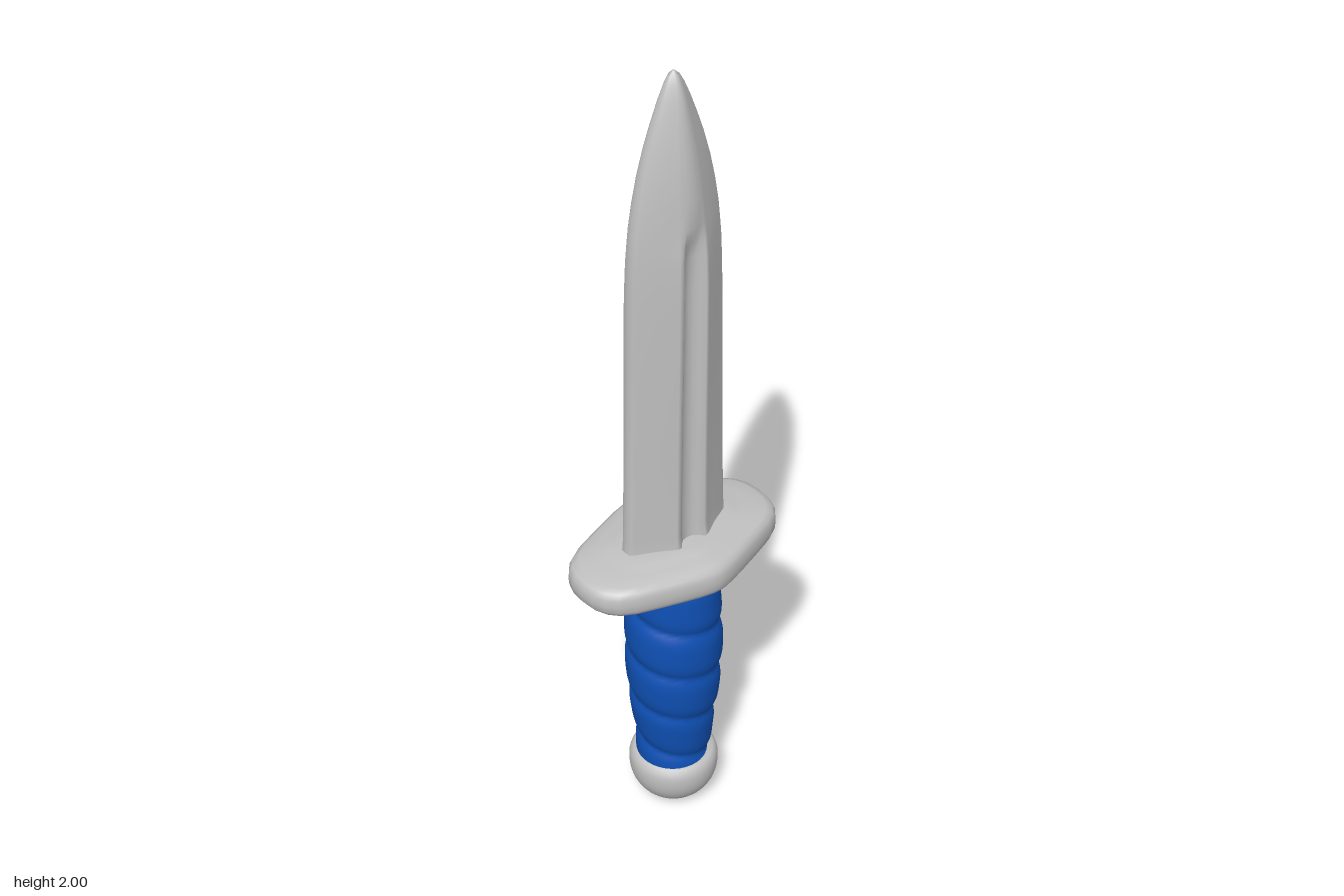
import * as THREE from 'three';

const steel = new THREE.MeshStandardMaterial({ color: 0xc0c0c0 });
steel.name = 'steel grey';
const wrap = new THREE.MeshStandardMaterial({ color: 0x0f50b4 });
wrap.name = 'grip blue';

// Skin a stack of closed rings (bottom to top) and close both ends.
function loft(rings) {
  const n = rings[0].length, pos = [], index = [];
  rings.forEach(r => r.forEach(p => pos.push(...p)));
  for (let i = 0; i < rings.length - 1; i++) {
    for (let j = 0; j < n; j++) {
      const a = i * n + j, b = i * n + (j + 1) % n;
      index.push(a, a + n, b, b, a + n, b + n);
    }
  }
  const last = (rings.length - 1) * n, lo = rings.length * n, hi = lo + 1;
  pos.push(0, rings[0][0][1], 0, 0, rings[rings.length - 1][0][1], 0);
  for (let j = 0; j < n; j++) {
    const k = (j + 1) % n;
    index.push(lo, j, k, hi, last + k, last + j);
  }
  const g = new THREE.BufferGeometry();
  g.setAttribute('position', new THREE.Float32BufferAttribute(pos, 3));
  g.setIndex(index);
  g.computeVertexNormals();
  return g;
}

// Mirror a quarter outline, running from the x axis to the z axis, into a full loop.
function mirrorQuarter(q) {
  const half = [...q, ...q.slice(0, -1).reverse().map(([x, z]) => [-x, z])];
  return [...half, ...half.slice(1, -1).reverse().map(([x, z]) => [x, -z])];
}

function part(name, geometry, material) {
  const m = new THREE.Mesh(geometry, material);
  m.name = name;
  return m;
}

// Blade: bevelled section with a shallow central groove that fades out below the point.
function bladeGeometry() {
  // y, half width, half thickness, groove strength
  const stations = [
    [0.78, 0.145, 0.075, 1], [0.82, 0.142, 0.071, 1], [0.86, 0.139, 0.067, 1],
    [1.1, 0.134, 0.068, 1], [1.35, 0.129, 0.071, 1], [1.5, 0.126, 0.072, 1],
    [1.58, 0.122, 0.071, 0.9], [1.62, 0.118, 0.07, 0.55], [1.66, 0.114, 0.068, 0],
    [1.72, 0.104, 0.064, 0], [1.78, 0.091, 0.058, 0], [1.84, 0.074, 0.05, 0],
    [1.89, 0.057, 0.041, 0], [1.94, 0.038, 0.031, 0], [1.97, 0.025, 0.022, 0],
    [1.99, 0.014, 0.013, 0], [2.0, 0.003, 0.003, 0],
  ];
  return loft(stations.map(([y, w, t, g]) => mirrorQuarter([
    [1, 0], [0.985, 0.2], [0.93, 0.31], [0.62, 0.61], [0.32, 0.88 + 0.09 * g],
    [0.25, 0.92 + 0.08 * g], [0.17, 0.96 - 0.13 * g], [0.1, 0.985 - 0.28 * g], [0, 1 - 0.32 * g],
  ]).map(([x, z]) => [x * w, y, z * t])));
}

// Guard: pointed oval plate with rounded rims, thicker in the middle.
function guardGeometry() {
  const outline = mirrorQuarter([
    [0.27, 0], [0.267, 0.035], [0.255, 0.065], [0.235, 0.088], [0.2, 0.108],
    [0.15, 0.126], [0.1, 0.143], [0.05, 0.159], [0.02, 0.166], [0, 0.168],
  ]);
  // y, outline scale
  const layers = [
    [0.716, 0.3], [0.719, 0.45], [0.726, 0.72], [0.733, 0.88], [0.741, 0.96], [0.753, 0.993],
    [0.77, 1], [0.788, 0.995], [0.802, 0.965], [0.81, 0.9], [0.815, 0.75], [0.82, 0.6], [0.826, 0.5],
  ];
  return loft(layers.map(([y, s]) => outline.map(([x, z]) => [x * s, y, z * s])));
}

// Grip: swelling handle with a spiral cord wrap.
function gripGeometry() {
  const core = new THREE.CatmullRomCurve3([
    [0.088, 0.13], [0.093, 0.22], [0.106, 0.33], [0.114, 0.45],
    [0.114, 0.55], [0.108, 0.64], [0.104, 0.73],
  ].map(([r, y]) => new THREE.Vector3(r, y, 0)));
  const rings = [], sides = 48, steps = 90, pitch = 0.135;
  for (let i = 0; i <= steps; i++) {
    const { x: r, y } = core.getPoint(i / steps);
    const ring = [];
    for (let j = 0; j < sides; j++) {
      const a = j / sides * Math.PI * 2;
      const bulge = Math.abs(Math.sin(Math.PI * (y / pitch - j / sides)));
      const rr = r + 0.002 - 0.011 * (1 - bulge) ** 2;
      ring.push([Math.cos(a) * rr, y, Math.sin(a) * rr]);
    }
    rings.push(ring);
  }
  return loft(rings);
}

// Pommel: rounded knob with a soft shoulder.
function pommelGeometry() {
  const points = [new THREE.Vector2(0, 0)];
  for (let i = 1; i <= 12; i++) {
    const a = i / 12 * Math.PI / 2;
    points.push(new THREE.Vector2(0.108 * Math.sin(a), 0.106 * (1 - Math.cos(a))));
  }
  [[0.108, 0.122], [0.104, 0.136], [0.096, 0.145], [0.08, 0.149], [0, 0.149]]
    .forEach(([r, y]) => points.push(new THREE.Vector2(r, y)));
  return new THREE.LatheGeometry(points, 40);
}

export function createModel() {
  const dagger = new THREE.Group();
  dagger.name = 'dagger';
  dagger.add(
    part('blade', bladeGeometry(), steel),
    part('guard', guardGeometry(), steel),
    part('grip', gripGeometry(), wrap),
    part('pommel', pommelGeometry(), steel),
  );
  return dagger;
}
